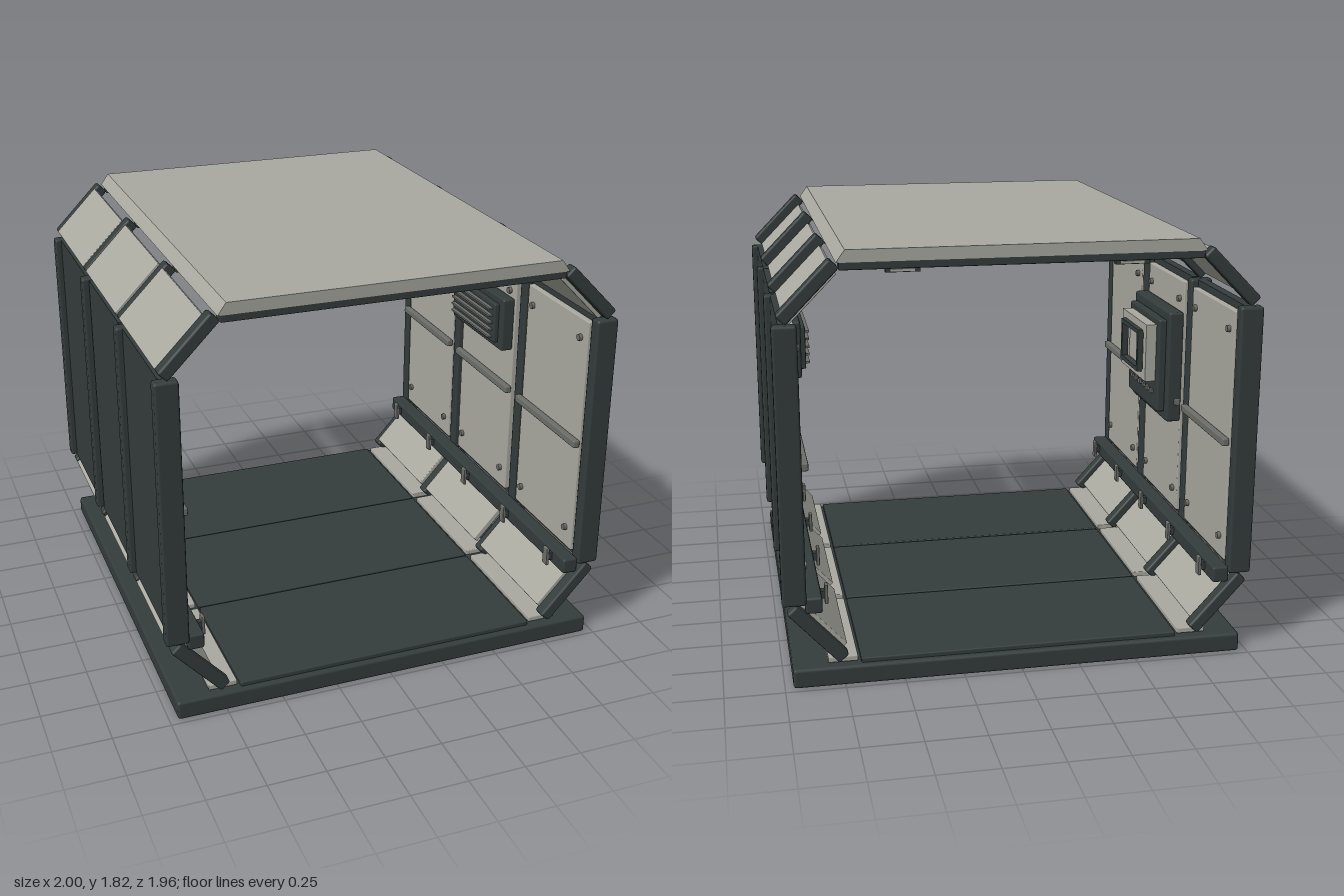
import * as THREE from 'three';
import { RoundedBoxGeometry } from 'three/addons/geometries/RoundedBoxGeometry.js';

const mat = (name, color) => {
  const m = new THREE.MeshStandardMaterial({ color });
  m.name = name;
  return m;
};

export function createModel() {
  const root = new THREE.Group();
  root.name = 'corridorSegment';
  const dark = mat('darkSteel', 0x343c3c);
  const light = mat('lightPanel', 0xa9a9a0);
  const grey = mat('midGrey', 0x6c6e69);

  const RIBS = [-0.95, -0.33, 0.33, 0.95];
  const BAYS = [-0.64, 0, 0.64];

  const add = (parent, name, geo, material, x, y, z) => {
    const m = new THREE.Mesh(geo, material);
    m.name = name;
    m.position.set(x, y, z);
    parent.add(m);
    return m;
  };
  // Box with an optional small bevel
  const box = (parent, name, material, [w, h, d], [x, y, z], bevel = 0) =>
    add(parent, name, bevel ? new RoundedBoxGeometry(w, h, d, 1, bevel)
      : new THREE.BoxGeometry(w, h, d), material, x, y, z);
  // Upright rectangular ring in the y-z plane, t thick along x
  const ring = (parent, name, material, w, h, rim, t, [x, y, z]) => {
    const rect = (S, a, b) => new S([[-a, -b], [a, -b], [a, b], [-a, b]].map(p => new THREE.Vector2(...p)));
    const shape = rect(THREE.Shape, w / 2, h / 2);
    shape.holes.push(rect(THREE.Path, w / 2 - rim, h / 2 - rim));
    const geo = new THREE.ExtrudeGeometry(shape, { depth: t, bevelEnabled: false });
    geo.translate(0, 0, -t / 2).rotateY(Math.PI / 2);
    return add(parent, name, geo, material, x, y, z);
  };

  // Floor slab, tread plates and edge strips
  const floor = new THREE.Group();
  floor.name = 'floor';
  root.add(floor);
  box(floor, 'floorSlab', dark, [1.93, 0.085, 1.96], [0, 0.0425, 0], 0.014);
  for (const z of BAYS) {
    box(floor, 'treadPlate', dark, [1.36, 0.025, 0.63], [0, 0.0925, z], 0.006);
    for (const s of [-1, 1])
      box(floor, 'edgeStrip', light, [0.125, 0.025, 0.6], [s * 0.755, 0.1, z], 0.005);
  }

  // Roof plate with sloping long edges, over dark cross ribs
  const roof = new THREE.Group();
  roof.name = 'roof';
  root.add(roof);
  const roofShape = new THREE.Shape([[-0.745, 1.77], [0.745, 1.77], [0.735, 1.785], [0.71, 1.82],
    [-0.71, 1.82], [-0.735, 1.785]].map(p => new THREE.Vector2(...p)));
  add(roof, 'roofPlate', new THREE.ExtrudeGeometry(roofShape, { depth: 1.96, bevelEnabled: false }), light, 0, 0, -0.98);
  for (const z of RIBS) box(roof, 'ceilingRib', dark, [1.47, 0.035, 0.058], [0, 1.757, z], 0.006);

  // Ceiling lamps
  for (const x of [-0.47, 0.47]) for (const z of [-0.5, 0.5]) {
    const lamp = new THREE.Group();
    lamp.name = 'ceilingLamp';
    lamp.position.set(x, 0, z);
    root.add(lamp);
    box(lamp, 'lampBase', dark, [0.145, 0.04, 0.74], [0, 1.753, 0], 0.006);
    box(lamp, 'lampNeck', dark, [0.1, 0.02, 0.68], [0, 1.725, 0]);
    box(lamp, 'lampDiffuser', light, [0.1, 0.012, 0.72], [0, 1.711, 0]);
    for (const dz of [-0.34, -0.13, 0.13, 0.34])
      box(lamp, 'lampClip', dark, [0.14, 0.014, 0.03], [0, 1.71, dz]);
  }

  // Side walls
  for (const s of [-1, 1]) {
    const wall = new THREE.Group();
    wall.name = s > 0 ? 'leftWall' : 'rightWall';
    root.add(wall);
    for (const z of RIBS) box(wall, 'wallPost', dark, [0.1, 1.165, 0.06], [s * 0.95, 0.9475, z], 0.012);
    for (const z of BAYS) {
      box(wall, 'outerPanel', dark, [0.04, 1.16, 0.57], [s * 0.952, 0.9475, z]);
      box(wall, 'innerPanel', light, [0.03, 1.1, 0.53], [s * 0.917, 0.95, z], 0.006);
      box(wall, 'midRail', grey, [0.03, 0.034, 0.55], [s * 0.885, 0.937, z], 0.006);
      for (const dz of [-0.21, 0.21]) for (const y of [0.495, 1.415]) {
        const geo = new THREE.CylinderGeometry(0.015, 0.015, 0.016, 10).rotateZ(Math.PI / 2);
        add(wall, 'panelBolt', geo, grey, s * 0.895, y, z + dz);
      }
    }
    // Low rail with clamps
    box(wall, 'lowRail', dark, [0.07, 0.07, 1.94], [s * 0.87, 0.36, 0], 0.01);
    for (const z of [-0.85, -0.425, 0, 0.425, 0.85]) {
      box(wall, 'clampNeck', dark, [0.03, 0.035, 0.03], [s * 0.825, 0.363, z]);
      box(wall, 'railClamp', grey, [0.014, 0.085, 0.04], [s * 0.811, 0.363, z], 0.004);
    }
    // Sloping corners, below and above the wall
    for (const [name, x0, y0, x1, y1] of [['lower', 0.752, 0.118, 0.962, 0.35], ['upper', 0.965, 1.55, 0.752, 1.767]]) {
      const slope = new THREE.Group();
      slope.name = name + 'Slope';
      slope.position.set(s * (x0 + x1) / 2, (y0 + y1) / 2, 0);
      slope.rotation.z = Math.atan2(-s * (x1 - x0), y1 - y0);
      wall.add(slope);
      const len = Math.hypot(x1 - x0, y1 - y0);
      for (const z of RIBS) box(slope, 'slopeRib', dark, [0.055, len, 0.06], [0, 0, z], 0.01);
      for (const z of BAYS)
        box(slope, 'slopePanel', light, [0.028, 0.275, 0.575], [s > 0 ? -0.03 : -0.016, name === 'upper' ? -0.012 : 0.005, z], 0.004);
    }
  }

  // Wall console with stacked frames and a screen
  const consoleUnit = new THREE.Group();
  consoleUnit.name = 'wallConsole';
  root.add(consoleUnit);
  box(consoleUnit, 'consoleBack', dark, [0.07, 0.52, 0.54], [-0.87, 1.1, 0], 0.012);
  box(consoleUnit, 'consoleStep', dark, [0.04, 0.44, 0.46], [-0.82, 1.1, 0], 0.01);
  ring(consoleUnit, 'screenBezel', light, 0.38, 0.27, 0.045, 0.05, [-0.776, 1.155, 0]);
  ring(consoleUnit, 'screenTrim', dark, 0.27, 0.2, 0.02, 0.03, [-0.743, 1.155, 0]);
  box(consoleUnit, 'screen', light, [0.03, 0.17, 0.24], [-0.782, 1.155, 0]);
  for (let i = 0; i < 6; i++)
    box(consoleUnit, 'consoleButton', grey, [0.014, 0.02, 0.03], [-0.797, 0.965, -0.15 + i * 0.06]);

  // Wall vent with louvres
  const vent = new THREE.Group();
  vent.name = 'wallVent';
  root.add(vent);
  box(vent, 'ventBox', dark, [0.06, 0.255, 0.52], [0.872, 1.26, 0], 0.01);
  box(vent, 'ventStep', dark, [0.03, 0.19, 0.44], [0.835, 1.26, 0], 0.006);
  for (let i = 0; i < 5; i++)
    box(vent, 'ventLouvre', grey, [0.03, 0.009, 0.4], [0.817, 1.19 + i * 0.035, 0]);

  return root;
}
